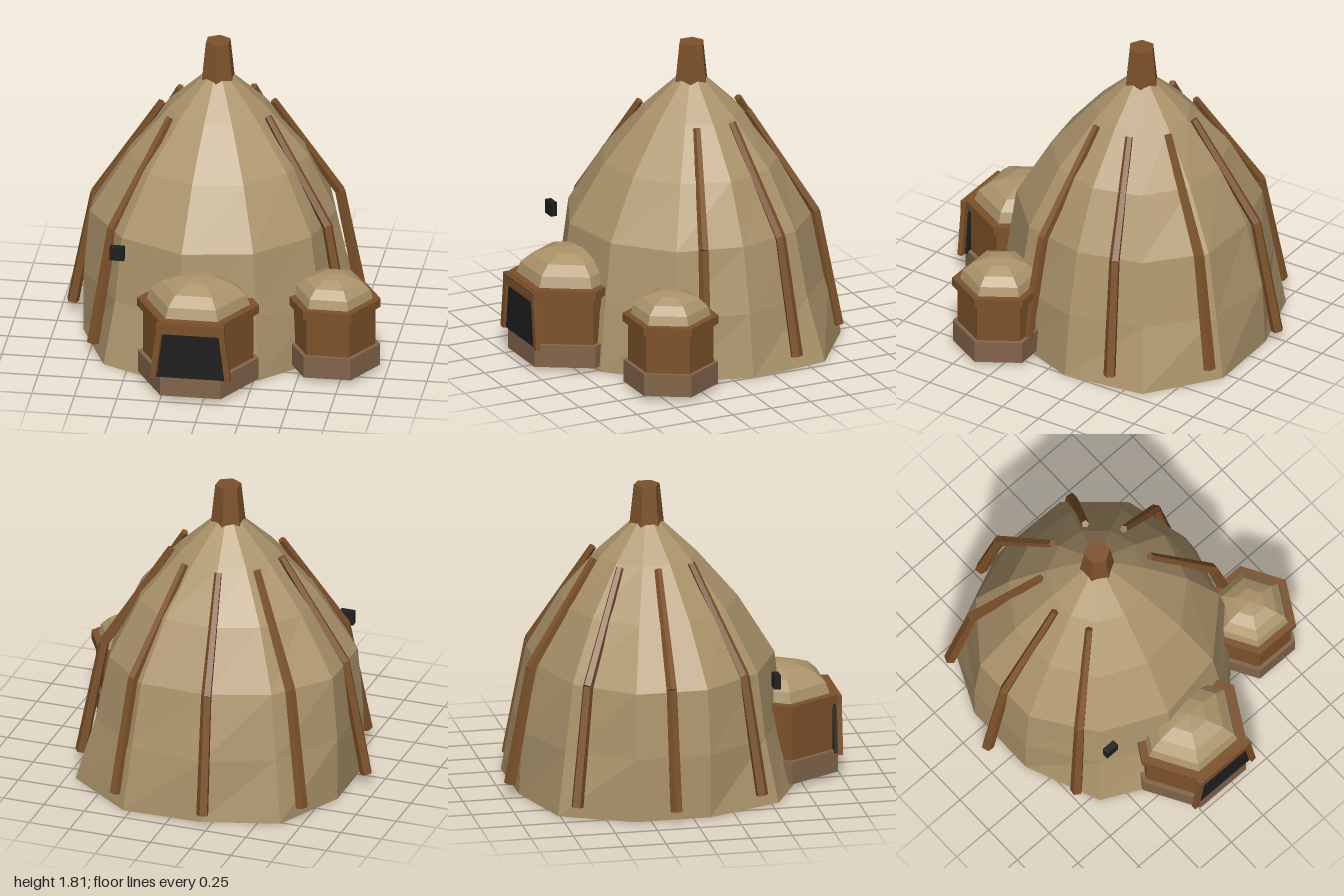
import * as THREE from 'three';

const mat = (name, color) => {
  const m = new THREE.MeshStandardMaterial({ color });
  m.name = name;
  m.flatShading = true;
  return m;
};

export function createModel() {
  const thatch = mat('thatch', 0xac946b);
  const wood = mat('wood', 0x7d522a);
  const stone = mat('stone', 0x83654a);
  const dark = mat('dark', 0x1f1f1f);
  const CX = -0.07, CZ = -0.12;

  const group = new THREE.Group();
  group.name = 'thatchedHut';
  const add = (parent, name, geometry, material, x = 0, y = 0, z = 0) => {
    const mesh = new THREE.Mesh(geometry, material);
    mesh.name = name;
    mesh.position.set(x, y, z);
    parent.add(mesh);
    return mesh;
  };

  // Main dome: eleven-sided uneven rings [height, radius per corner], closed at both ends
  const rings = [
    [0, [0.83, 0.80, 0.83, 0.90, 0.88, 0.79, 0.79, 0.85, 0.79, 0.87, 0.91]],
    [0.38, [0.78, 0.78, 0.79, 0.79, 0.79, 0.79, 0.79, 0.78, 0.77, 0.80, 0.79]],
    [0.77, [0.695, 0.72, 0.735, 0.745, 0.74, 0.755, 0.755, 0.71, 0.67, 0.72, 0.71]],
    [1.12, [0.53, 0.53, 0.53, 0.53, 0.53, 0.53, 0.53, 0.52, 0.50, 0.52, 0.53]],
    [1.4, Array(11).fill(0.29)],
    [1.6, Array(11).fill(0.08)],
  ];
  const sides = 11;
  const pos = [], index = [];
  for (const [y, radii] of rings) {
    radii.forEach((r, i) => {
      const a = (i / sides) * Math.PI * 2;
      pos.push(Math.cos(a) * r, y, Math.sin(a) * r);
    });
  }
  const bottom = pos.length / 3, top = bottom + 1;
  pos.push(0, 0, 0, 0, 1.64, 0);
  const last = (rings.length - 1) * sides;
  for (let i = 0; i < sides; i++) {
    const j = (i + 1) % sides;
    for (let k = 0; k < rings.length - 1; k++) {
      const a = k * sides + i, b = k * sides + j;
      index.push(a, a + sides, b, b, a + sides, b + sides);
    }
    index.push(bottom, i, j, top, last + j, last + i);
  }
  const domeGeo = new THREE.BufferGeometry();
  domeGeo.setAttribute('position', new THREE.Float32BufferAttribute(pos, 3));
  domeGeo.setIndex(index);
  domeGeo.computeVertexNormals();
  add(group, 'thatchDome', domeGeo, thatch, CX, 0, CZ);

  // Chimney at the peak
  add(group, 'chimney', new THREE.CylinderGeometry(0.077, 0.106, 0.27, 6), wood, CX, 1.678, CZ);

  // Bent roof poles, every 40 degrees except over the entrance
  const strut = (parent, name, a, b, ra, rb) => {
    const dir = b.clone().sub(a);
    const mesh = add(parent, name, new THREE.CylinderGeometry(rb, ra, dir.length(), 5), wood);
    mesh.position.copy(a).add(b).multiplyScalar(0.5);
    mesh.quaternion.setFromUnitVectors(new THREE.Vector3(0, 1, 0), dir.normalize());
  };
  for (const deg of [20, 140, 180, 220, 260, 300, 340]) {
    const pole = new THREE.Group();
    pole.name = 'roofPole';
    pole.position.set(CX, 0, CZ);
    pole.rotation.y = -THREE.MathUtils.degToRad(deg);
    const foot = new THREE.Vector3(0.855, 0.08, 0);
    const knee = new THREE.Vector3(0.722, 0.782, 0);
    const tip = new THREE.Vector3(0.33, 1.395, 0);
    strut(pole, 'lowerPole', foot, knee, 0.037, 0.032);
    strut(pole, 'upperPole', knee, tip, 0.032, 0.023);
    group.add(pole);
  }

  // Six-sided annexes: stone footing, wooden wall, rim and small thatched dome
  const annex = (name, x, z, r, rimTop, domeR, domeH, wallR) => {
    const g = new THREE.Group();
    g.name = name;
    g.position.set(x, 0, z);
    const hex = (part, radius, y0, y1, material) => add(g, part,
      new THREE.CylinderGeometry(radius, radius, y1 - y0, 6, 1, false, Math.PI / 6), material, 0, (y0 + y1) / 2, 0);
    hex('footing', r, 0.03, 0.165, stone);
    hex('wall', wallR, 0.16, rimTop - 0.04, wood);
    hex('rim', r + 0.004, rimTop - 0.052, rimTop, wood);
    const cap = add(g, 'annexDome',
      new THREE.SphereGeometry(1, 6, 4, 0, Math.PI * 2, 0, Math.PI / 2), thatch, 0, rimTop - 0.002, 0);
    cap.scale.set(domeR, domeH, domeR);
    group.add(g);
    return g;
  };
  const porch = annex('entrancePorch', CX, 0.672, 0.355, 0.505, 0.305, 0.17, 0.325);
  annex('sideAnnex', 0.68, 0.377, 0.276, 0.455, 0.235, 0.147, 0.25);

  // Entrance: tapered dark opening with leaning posts and a lintel
  const door = new THREE.Shape([[-0.2, 0.15], [0.2, 0.15], [0.16, 0.45], [-0.16, 0.45]]
    .map(([x, y]) => new THREE.Vector2(x, y)));
  add(porch, 'doorway', new THREE.ExtrudeGeometry(door, { depth: 0.03, bevelEnabled: false }),
    dark, 0, 0, 0.28);
  for (const s of [-1, 1]) {
    const post = add(porch, 'doorPost', new THREE.BoxGeometry(0.034, 0.335, 0.03), wood, s * 0.2, 0.315, 0.312);
    post.rotation.z = s * 0.125;
  }
  add(porch, 'lintel', new THREE.BoxGeometry(0.4, 0.064, 0.033), wood, 0, 0.467, 0.312);

  // Small dark box at the front left of the dome
  add(group, 'smallWindow', new THREE.BoxGeometry(0.083, 0.083, 0.04), dark, -0.565, 0.722, 0.547);

  return group;
}
